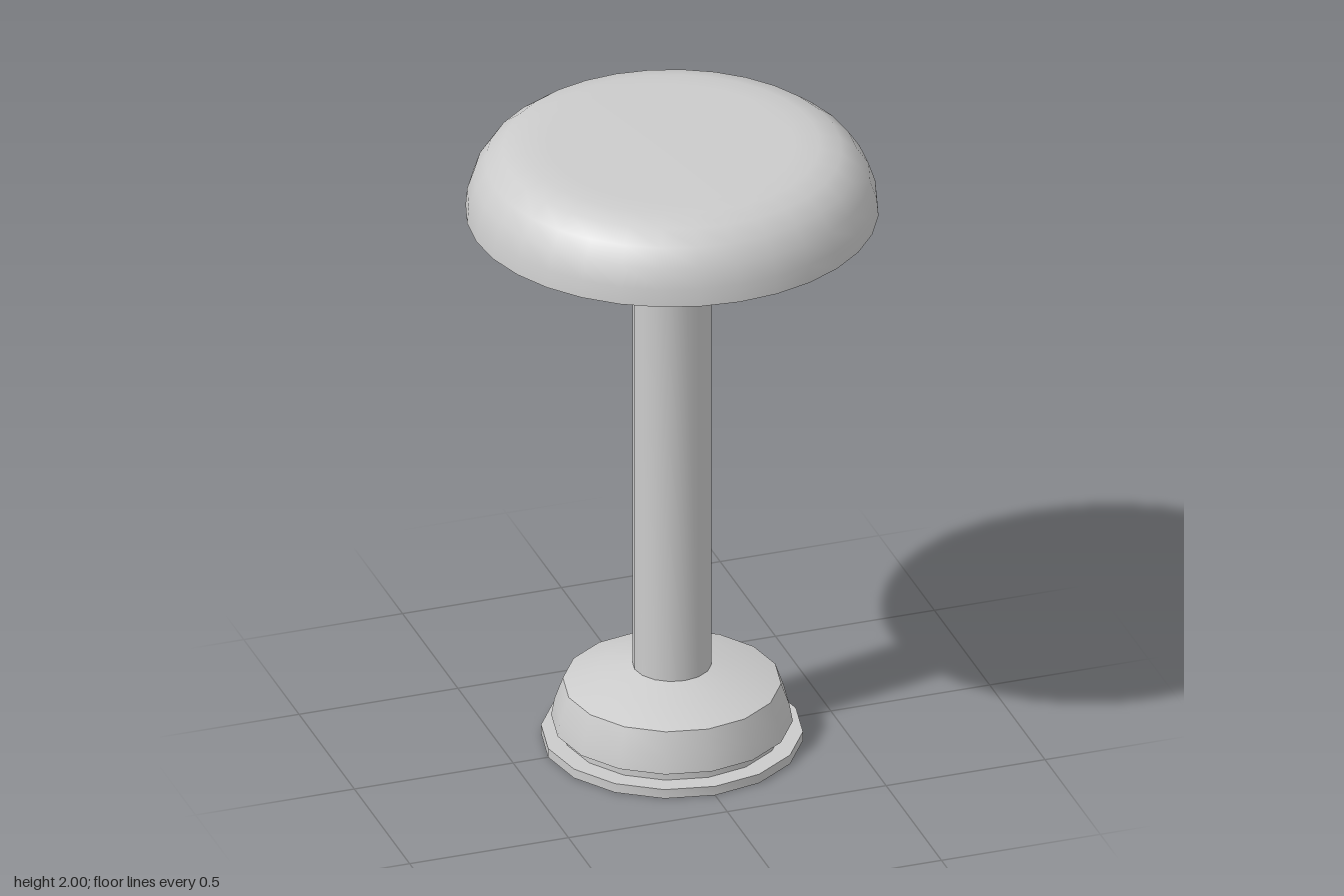
import * as THREE from 'three';
import { toCreasedNormals } from 'three/addons/utils/BufferGeometryUtils.js';

const material = new THREE.MeshStandardMaterial({ color: 0xcccccc });

// Turns a profile of [radius, height] points, listed bottom to top, around y.
function turned(name, profile, sides) {
  const points = profile.map(([r, y]) => new THREE.Vector2(r, y));
  const geometry = toCreasedNormals(new THREE.LatheGeometry(points, sides), Math.PI / 6);
  const mesh = new THREE.Mesh(geometry, material);
  mesh.name = name;
  return mesh;
}

export function createModel() {
  const stool = new THREE.Group();
  stool.name = 'stool';

  // Floor flange and the recessed ring above it
  stool.add(turned('floorFlange', [[0, 0], [0.39, 0], [0.39, 0.03], [0.32, 0.03]], 16));
  stool.add(turned('baseNeck', [[0.33, 0.03], [0.33, 0.065]], 16));

  // Domed base cover
  stool.add(turned('baseCover', [
    [0.32, 0.065], [0.36, 0.065], [0.35, 0.12], [0.325, 0.19],
    [0.22, 0.227], [0.115, 0.25],
  ], 16));

  // Column
  stool.add(turned('column', [[0.118, 0.24], [0.118, 1.71]], 16));

  // Cushion with a shallow conical underside and a rounded rim
  stool.add(turned('seat', [
    [0, 1.7], [0.37, 1.7], [0.615, 1.775], [0.61, 1.83], [0.59, 1.89],
    [0.555, 1.942], [0.505, 1.98], [0.44, 1.997], [0.37, 2], [0, 2],
  ], 32));

  return stool;
}
